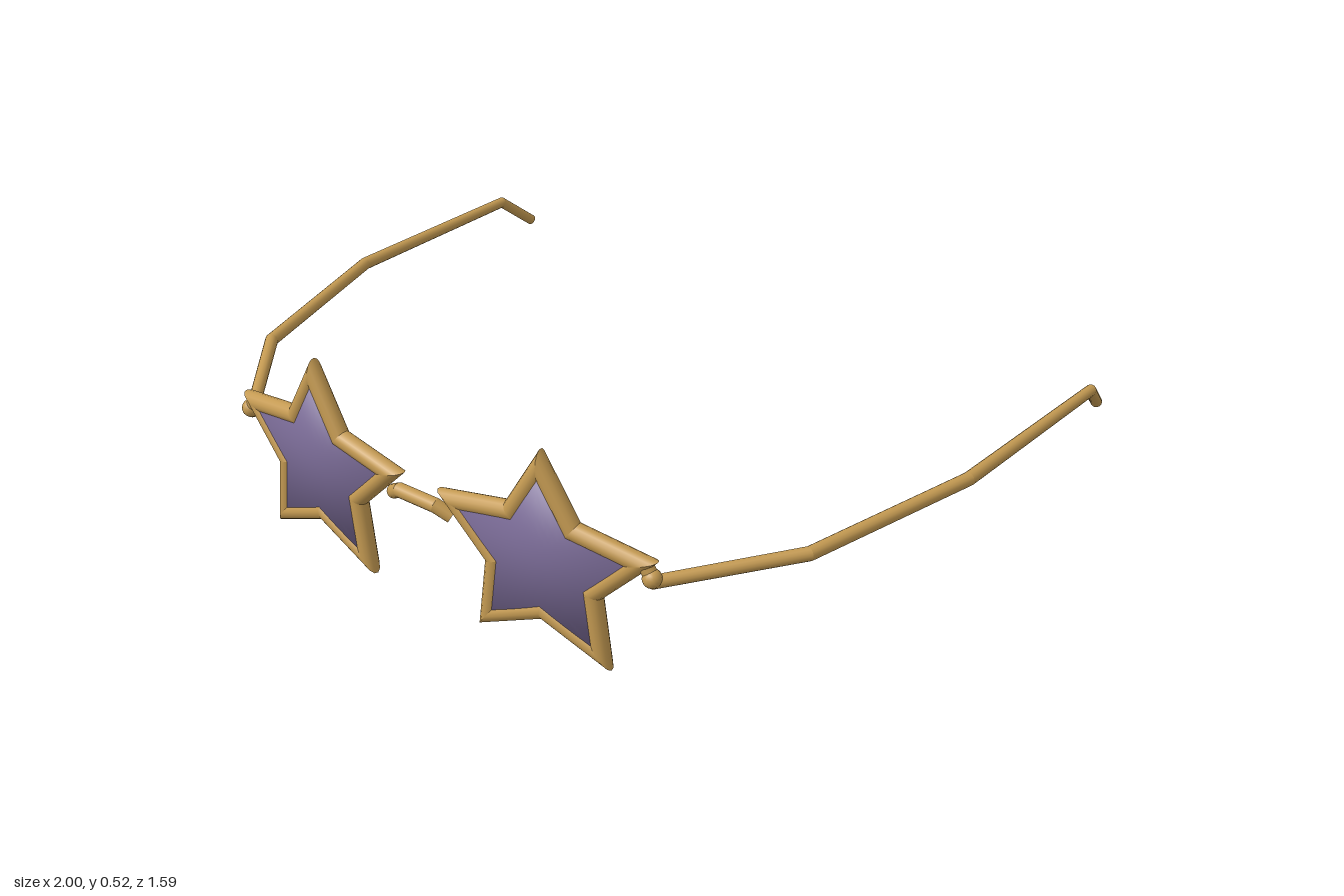
import * as THREE from 'three';

const gold = new THREE.MeshStandardMaterial({ color: 0xc49a52 });
const purple = new THREE.MeshStandardMaterial({ color: 0x7a6b96 });
const V = (x, y, z) => new THREE.Vector3(x, y, z);

// Round bar along straight runs, mitred at each corner; open bars get flat caps
function mitredBar(points, radii, closed = false, sides = 14) {
  const n = points.length, runs = closed ? n : n - 1;
  const dirs = [];
  for (let i = 0; i < runs; i++) dirs.push(points[(i + 1) % n].clone().sub(points[i]).normalize());
  const miter = i => {
    const a = closed ? dirs[(i - 1 + runs) % runs] : dirs[Math.max(i - 1, 0)];
    const b = closed ? dirs[i % runs] : dirs[Math.min(i, runs - 1)];
    return a.clone().add(b).normalize();
  };
  const pos = [], nor = [], idx = [];
  const up = Math.abs(dirs[0].z) > 0.7 ? V(0, 1, 0) : V(0, 0, 1);
  let u = up.addScaledVector(dirs[0], -up.dot(dirs[0])).normalize();
  for (let i = 0; i < runs; i++) {
    const d = dirs[i], v = d.clone().cross(u), base = pos.length / 3;
    for (const k of [i, i + 1]) {
      const m = miter(k), p = points[k % n], r = radii[k % radii.length];
      for (let j = 0; j <= sides; j++) {
        const a = j / sides * Math.PI * 2;
        const o = u.clone().multiplyScalar(Math.cos(a)).addScaledVector(v, Math.sin(a));
        const q = p.clone().addScaledVector(o, r).addScaledVector(d, -r * o.dot(m) / d.dot(m));
        pos.push(...q);
        nor.push(...o);
      }
    }
    for (let j = 0; j < sides; j++) {
      const a = base + j, b = a + sides + 1;
      idx.push(a, a + 1, b, a + 1, b + 1, b);
    }
    // carry the frame over the corner
    const m = miter(i + 1), e = dirs[(i + 1) % runs];
    const w = u.clone().addScaledVector(d, -u.dot(m) / d.dot(m));
    u = w.addScaledVector(e, -w.dot(e)).normalize();
  }
  if (!closed) {
    const count = sides + 1, lastRing = pos.length / 3 - count;
    for (const end of [0, 1]) {
      const ring = end ? lastRing : 0, c = pos.length / 3;
      const normal = dirs[end ? runs - 1 : 0].clone().multiplyScalar(end ? 1 : -1);
      pos.push(...points[end ? n - 1 : 0], ...pos.slice(ring * 3, (ring + count) * 3));
      for (let j = 0; j <= count; j++) nor.push(...normal);
      for (let j = 1; j < count; j++) idx.push(c, ...(end ? [c + j, c + j + 1] : [c + j + 1, c + j]));
    }
  }
  return geometryFrom(pos, nor, idx);
}

function geometryFrom(pos, nor, idx) {
  const g = new THREE.BufferGeometry();
  g.setAttribute('position', new THREE.Float32BufferAttribute(pos, 3));
  g.setAttribute('normal', new THREE.Float32BufferAttribute(nor, 3));
  g.setIndex(idx);
  return g;
}

// The front sweeps gently back towards the sides
const frontZ = x => 0.758 - 0.145 * x * x;

function starPoints(side) {
  return Array.from({ length: 10 }, (_, i) => {
    const a = Math.PI / 2 + i * Math.PI / 5, r = i % 2 ? 0.13 : 0.243;
    const x = side * 0.345 + Math.cos(a) * r * 1.055;
    return V(x, 0.238 + Math.sin(a) * r, frontZ(x));
  });
}

// Star lens filling the rim: front and back faces with pillow-soft normals
function lensGeometry(side) {
  const star = starPoints(side), cx = side * 0.345, cy = 0.238, rings = 6, split = 4;
  const edge = [];
  star.forEach((p, i) => {
    for (let k = 0; k < split; k++) edge.push(p.clone().lerp(star[(i + 1) % 10], k / split));
  });
  const n = edge.length, pos = [], nor = [], idx = [];
  for (const face of [1, -1]) {
    const base = pos.length / 3;
    const tri = (a, b, c) => idx.push(base + a, base + (face > 0 ? b : c), base + (face > 0 ? c : b));
    for (let r = 0; r <= rings; r++) {
      const t = r / rings;
      for (const p of edge) {
        const dx = (p.x - cx) * t, dy = (p.y - cy) * t;
        pos.push(cx + dx, cy + dy, frontZ(cx + dx) + face * (0.021 - 0.003 * t));
        nor.push(...V(dx * 4, dy * 4, face).normalize());
      }
    }
    for (let r = 0; r < rings; r++) for (let j = 0; j < n; j++) {
      const k = (j + 1) % n, a = r * n, b = a + n;
      if (r) tri(a + j, b + k, a + k);
      tri(a + j, b + j, b + k);
    }
  }
  return geometryFrom(pos, nor, idx);
}

export function createModel() {
  const model = new THREE.Group();
  model.name = 'starGlasses';
  const add = (name, geometry, material = gold) => {
    const mesh = new THREE.Mesh(geometry, material);
    mesh.name = name;
    model.add(mesh);
    return mesh;
  };

  for (const s of [1, -1]) {
    const label = s > 0 ? 'left' : 'right';
    add(label + 'Rim', mitredBar(starPoints(s), [0.0235], true));
    add(label + 'Lens', lensGeometry(s), purple);

    // Hinge: a short peg with a rounded end under the outer star tip
    add(label + 'HingePeg', mitredBar([V(s * 0.6, 0.316, 0.705), V(s * 0.62, 0.285, 0.702)], [0.018]));
    add(label + 'HingeKnob', new THREE.SphereGeometry(0.023, 16, 12)).position.set(s * 0.622, 0.283, 0.704);

    // Temple arm with its bent ear tip
    add(label + 'Temple', mitredBar([
      V(s * 0.62, 0.272, 0.705), V(s * 0.843, 0.287, 0.42), V(s * 0.969, 0.291, -0.067),
      V(s * 0.983, 0.264, -0.68), V(s * 0.957, 0.175, -0.788),
    ], [0.016, 0.017, 0.017, 0.015, 0.015]));
  }

  // Bridge over the nose
  add('bridge', mitredBar([
    V(-0.09, 0.265, 0.757), V(-0.055, 0.288, 0.773), V(0.055, 0.288, 0.773), V(0.09, 0.265, 0.757),
  ], [0.018]));

  return model;
}
